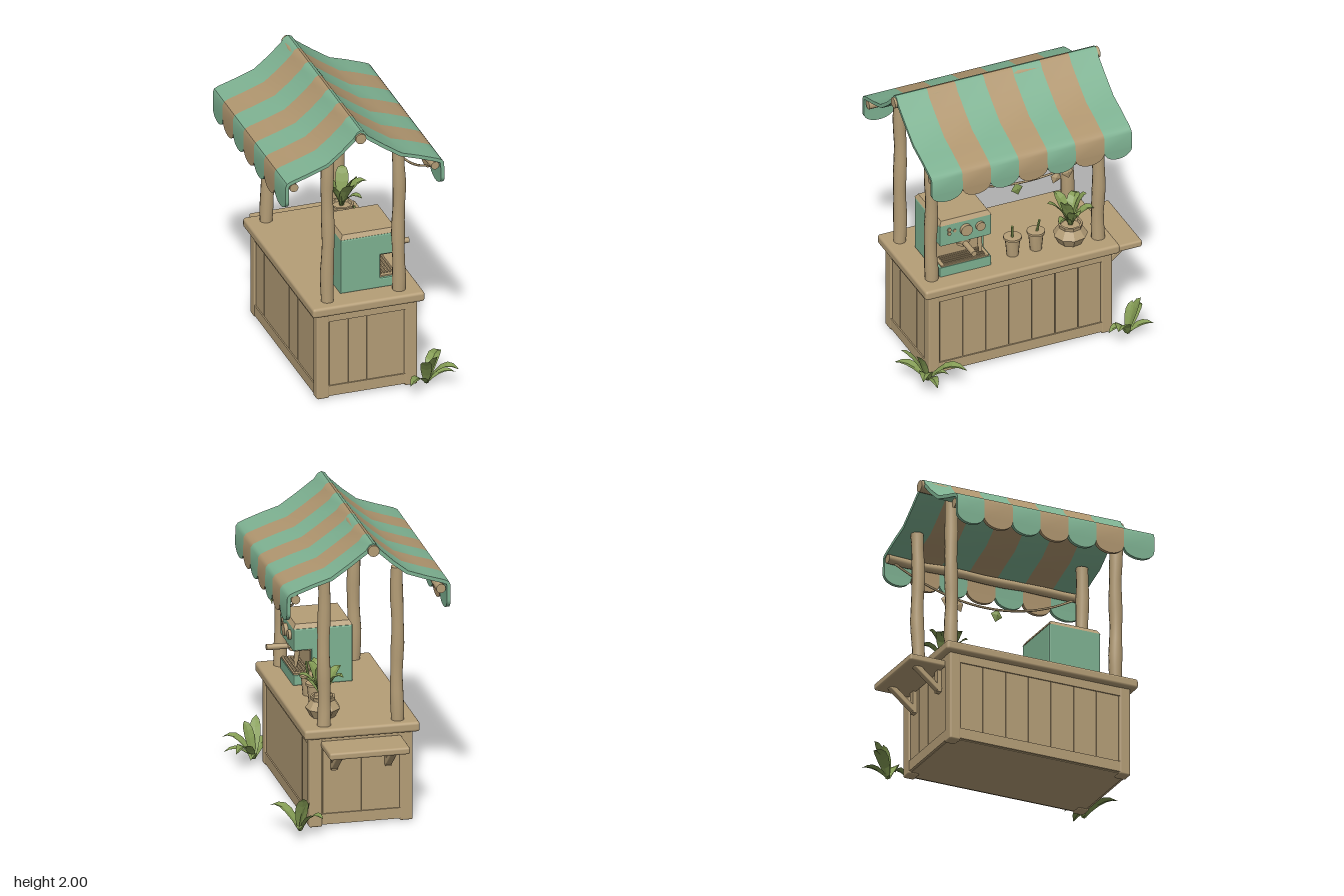
import * as THREE from 'three';
import { toCreasedNormals } from 'three/addons/utils/BufferGeometryUtils.js';
import { RoundedBoxGeometry } from 'three/addons/geometries/RoundedBoxGeometry.js';

const material = (name, color, extra = {}) => {
  const m = new THREE.MeshStandardMaterial({ color, ...extra });
  m.name = name;
  return m;
};

export function createModel() {
  const wood = material('tan wood', 0xb59e77);
  const stripe = material('tan cloth', 0xb0966f);
  const mint = material('mint green', 0x7eb292);
  const leafGreen = material('leaf green', 0x849c54, { side: THREE.DoubleSide, flatShading: true });
  const root = new THREE.Group();
  root.name = 'marketStall';

  const add = (name, geo, mat, x = 0, y = 0, z = 0, parent = root) => {
    const mesh = new THREE.Mesh(geo, mat);
    mesh.name = name;
    mesh.position.set(x, y, z);
    parent.add(mesh);
    return mesh;
  };
  // Box given by its limits, with optional rounded edges
  const box = (name, mat, x0, x1, y0, y1, z0, z1, r = 0) => {
    const s = [x1 - x0, y1 - y0, z1 - z0];
    const geo = r ? new RoundedBoxGeometry(...s, 2, r) : new THREE.BoxGeometry(...s);
    return add(name, geo, mat, (x0 + x1) / 2, (y0 + y1) / 2, (z0 + z1) / 2);
  };
  // Slightly knobbly round pole, standing on its base
  const poleGeo = (r, h, seed) => {
    const geo = new THREE.CylinderGeometry(r * 0.95, r, h, 12, 10);
    const p = geo.attributes.position;
    for (let i = 0; i < p.count; i++) {
      const y = p.getY(i), k = 1 + 0.06 * Math.sin(y * 17 + seed);
      p.setX(i, p.getX(i) * k + 0.004 * Math.sin(y * 9 + seed * 2));
      p.setZ(i, p.getZ(i) * k + 0.004 * Math.cos(y * 11 + seed));
    }
    geo.translate(0, h / 2, 0);
    return toCreasedNormals(geo, 0.8);
  };
  const rod = (name, mat, r, a, b, sides = 10) => {
    const A = new THREE.Vector3(...a), d = new THREE.Vector3(...b).sub(A);
    const m = add(name, new THREE.CylinderGeometry(r, r, d.length(), sides), mat);
    m.position.copy(A).addScaledVector(d, 0.5);
    m.quaternion.setFromUnitVectors(new THREE.Vector3(0, 1, 0), d.normalize());
    return m;
  };

  // Counter
  box('counterCore', wood, -0.35, 0.32, 0.01, 0.64, -0.63, 0.67);
  box('counterTop', wood, -0.41, 0.38, 0.63, 0.7, -0.69, 0.73, 0.02);
  for (const [x0, x1] of [[-0.37, -0.28], [0.25, 0.34]])
    for (const [z0, z1] of [[-0.65, -0.57], [0.61, 0.69]])
      box('cornerBoard', wood, x0, x1, 0, 0.64, z0, z1, 0.012);
  for (const [y0, y1] of [[0.015, 0.09], [0.57, 0.635]]) {
    for (const x of [-0.357, 0.327]) box('longRail', wood, x - 0.01, x + 0.01, y0, y1, -0.6, 0.64);
    for (const z of [-0.637, 0.677]) box('shortRail', wood, -0.3, 0.27, y0, y1, z - 0.01, z + 0.01);
  }
  for (let i = 0; i < 7; i++) {
    const z0 = -0.567 + i * 0.168;
    for (const x of [-0.352, 0.322])
      box('longPlank', wood, x - 0.006, x + 0.006, 0.09, 0.57, z0, z0 + 0.162);
  }
  for (let i = 0; i < 4; i++) {
    const x0 = -0.277 + i * 0.132;
    for (const z of [-0.632, 0.672])
      box('shortPlank', wood, x0, x0 + 0.126, 0.09, 0.57, z - 0.006, z + 0.006);
  }

  // Folding side shelf with brackets
  box('sideShelf', wood, -0.29, 0.26, 0.555, 0.605, -0.905, -0.64, 0.015);
  for (const x of [-0.2, 0.17]) {
    const brace = box('shelfBrace', wood, x - 0.022, x + 0.022, -0.12, 0.12, -0.02, 0.02, 0.008);
    brace.position.set(x, 0.49, -0.735);
    brace.rotation.x = -0.88;
    box('shelfCleat', wood, x - 0.022, x + 0.022, 0.4, 0.56, -0.67, -0.64);
  }

  // Posts and beams
  let seed = 1;
  for (const [x, h] of [[-0.273, 1.09], [0.228, 1.06]])
    for (const z of [0.625, -0.595]) add('roofPost', poleGeo(0.045, h, seed++), wood, x, 0.69, z);
  for (const [name, x, y, r, z0, z1] of [['ridgeBeam', -0.08, 1.945, 0.042, -0.735, 0.76],
    ['eavePole', 0.45, 1.64, 0.031, -0.71, 0.735], ['eavePole', -0.55, 1.64, 0.031, -0.71, 0.735]])
    add(name, poleGeo(r, z1 - z0, seed++), wood, x, y, z0).rotation.x = Math.PI / 2;

  // Striped awning: one cloth profile extruded stripe by stripe
  const outer = [[-0.61, 1.55], [-0.61, 1.66], [-0.6, 1.685], [-0.57, 1.7], [-0.45, 1.738], [-0.32, 1.785],
    [-0.22, 1.865], [-0.13, 1.95], [-0.105, 1.987], [-0.08, 1.998], [-0.055, 1.987], [-0.03, 1.95],
    [0.09, 1.862], [0.21, 1.78], [0.33, 1.743], [0.45, 1.7], [0.49, 1.683], [0.507, 1.66], [0.51, 1.55]]
    .map(p => new THREE.Vector2(...p));
  const T = 0.025;
  const inner = outer.map((p, i) => {
    const d = outer[Math.min(i + 1, outer.length - 1)].clone().sub(outer[Math.max(i - 1, 0)]).normalize();
    return new THREE.Vector2(p.x + d.y * T, p.y - d.x * T);
  });
  const cloth = new THREE.Shape([...outer, ...inner.reverse()]);
  const edges = [-0.715, -0.515, -0.305, -0.1, 0.11, 0.315, 0.52, 0.745];
  for (let i = 0; i < 7; i++) {
    const z0 = edges[i], w = edges[i + 1] - z0, mat = i % 2 ? stripe : mint;
    const roof = new THREE.ExtrudeGeometry(cloth, { depth: w, bevelEnabled: false });
    add('awningStripe', toCreasedNormals(roof, 0.7), mat, 0, 0, z0);
    // Scalloped valance flap
    const flap = new THREE.Shape();
    flap.moveTo(0, 1.551);
    flap.absellipse(w / 2, 1.55, w / 2, 0.07, Math.PI, Math.PI * 2, false);
    const flapGeo = new THREE.ExtrudeGeometry(flap, { depth: T, bevelEnabled: false, curveSegments: 14 });
    flapGeo.rotateY(-Math.PI / 2);
    for (const x of [0.51, -0.61 + T]) add('awningScallop', flapGeo, mat, x, 0, z0);
  }

  // Bent leaf with a folded midrib, from the origin to a tip
  const leafGeo = (dx, dz, mid, tip, width) => {
    const pos = [], idx = [], N = 5, len = Math.hypot(dx, dz) || 1;
    for (let i = 0; i <= N; i++) {
      const t = i / N, w = width * Math.pow(Math.sin(Math.PI * Math.min(0.08 + t * 0.92, 1)), 0.8) / 2;
      const y = 2 * t * (1 - t) * mid + t * t * tip;
      for (const s of [-1, 0, 1])
        pos.push(dx * t - s * w * dz / len, y + Math.abs(s) * w * 0.35, dz * t + s * w * dx / len);
      if (i < N) for (const k of [0, 1]) {
        const a = i * 3 + k;
        idx.push(a, a + 1, a + 3, a + 1, a + 4, a + 3);
      }
    }
    const geo = new THREE.BufferGeometry();
    geo.setAttribute('position', new THREE.Float32BufferAttribute(pos, 3));
    geo.setIndex(idx);
    geo.computeVertexNormals();
    return geo;
  };
  const plant = (name, x, y, z, leaves) => {
    const g = new THREE.Group();
    g.name = name;
    g.position.set(x, y, z);
    root.add(g);
    for (const l of leaves) add('leaf', leafGeo(...l), leafGreen, 0, 0, 0, g);
  };
  // Leaf values: tip x, tip z, mid height, tip height, width
  plant('frontGroundPlant', 0.39, 0.01, 0.72, [[-0.17, 0.17, 0.14, 0.09, 0.08], [-0.06, 0.17, 0.2, 0.25, 0.08],
    [0.19, 0.12, 0.2, 0.13, 0.09], [0.17, -0.21, 0.2, 0.12, 0.09], [0.04, 0.1, 0.2, 0.24, 0.08],
    [0.2, 0.02, 0.12, 0.06, 0.07], [0.05, -0.13, 0.1, 0.04, 0.06]]);
  plant('backGroundPlant', 0.42, 0.01, -0.72, [[-0.12, -0.16, 0.18, 0.13, 0.09], [0.0, -0.1, 0.2, 0.26, 0.09],
    [0.17, 0.14, 0.2, 0.15, 0.1], [0.05, -0.17, 0.1, 0.07, 0.07], [0.03, 0.15, 0.14, 0.06, 0.07],
    [-0.05, -0.06, 0.16, 0.22, 0.07]]);
  plant('pottedPlant', 0.19, 0.82, -0.41, [[0.02, 0.18, 0.2, 0.23, 0.09], [0.08, 0.09, 0.22, 0.24, 0.09],
    [0.04, -0.1, 0.24, 0.25, 0.09], [0.06, -0.17, 0.18, 0.12, 0.08], [0.17, 0.02, 0.2, 0.17, 0.09],
    [-0.14, 0.06, 0.2, 0.2, 0.09], [-0.12, -0.1, 0.22, 0.17, 0.09], [0.1, 0.13, 0.14, 0.1, 0.07]]);

  // Faceted plant pot
  const lathe = (pts, sides) => toCreasedNormals(
    new THREE.LatheGeometry(pts.map(p => new THREE.Vector2(...p)), sides), 0.5);
  add('plantPot', lathe([[0, 0], [0.085, 0], [0.118, 0.06], [0.08, 0.115], [0.085, 0.14], [0.07, 0.14],
    [0.065, 0.12], [0, 0.12]], 9), wood, 0.19, 0.7, -0.41);

  // Cups with straws
  for (const [z, lean] of [[0.01, 0.01], [-0.16, -0.02]]) {
    add('cup', lathe([[0, 0], [0.04, 0], [0.052, 0.125], [0.062, 0.127], [0.062, 0.143], [0.05, 0.145],
      [0, 0.14]], 14), wood, 0.185, 0.7, z);
    rod('straw', leafGreen, 0.009, [0.185, 0.8, z], [0.2, 0.93, z + lean], 6);
  }

  // Coffee machine, facing the long side
  const side = new THREE.Shape([[-0.15, 0.71], [0.235, 0.71], [0.235, 0.762], [0.11, 0.762], [0.11, 0.955],
    [0.235, 0.955], [0.235, 1.09], [-0.15, 1.09]].map(p => new THREE.Vector2(...p)));
  add('machineBody', new THREE.ExtrudeGeometry(side, { depth: 0.36, bevelSize: 0.01, bevelThickness: 0.01,
    bevelSegments: 2 }), mint, 0, 0, 0.2);
  const lid = box('machineLid', wood, -0.16, 0.245, 1.1, 1.13, 0.19, 0.57);
  const lp = lid.geometry.attributes.position;
  for (let i = 0; i < lp.count; i++) if (lp.getY(i) > 0) {
    lp.setX(i, lp.getX(i) * 0.91);
    lp.setZ(i, lp.getZ(i) * 0.9);
  }
  lid.geometry.computeVertexNormals();
  box('machineBackPlate', wood, 0.1, 0.126, 0.773, 0.944, 0.21, 0.55);
  box('headUnderside', wood, 0.11, 0.238, 0.938, 0.95, 0.205, 0.555);
  box('dripTray', wood, 0.11, 0.24, 0.768, 0.782, 0.205, 0.555);
  for (let i = 0; i < 5; i++)
    box('trayBar', wood, 0.135 + i * 0.021, 0.145 + i * 0.021, 0.78, 0.79, 0.23, 0.53);
  for (const [y, z, r] of [[1.035, 0.38, 0.042], [1.035, 0.275, 0.033], [1.06, 0.5, 0.014], [1.03, 0.5, 0.014],
    [1.045, 0.46, 0.012]])
    rod('knob', wood, r, [0.235, y, z], [0.245 + r * 0.6, y, z], 14);
  rod('groupHead', wood, 0.055, [0.19, 0.915, 0.38], [0.19, 0.945, 0.38], 14);
  rod('filterBasket', wood, 0.042, [0.19, 0.89, 0.38], [0.19, 0.92, 0.38], 14);
  rod('filterHandle', wood, 0.02, [0.2, 0.918, 0.38], [0.385, 0.92, 0.38]);
  rod('steamWand', wood, 0.012, [0.2, 0.945, 0.26], [0.215, 0.81, 0.26], 8);
  rod('wandGrip', wood, 0.018, [0.202, 0.93, 0.26], [0.21, 0.85, 0.26], 8);

  // Hanging garland with leaves
  const sag = z => 1.415 + 0.45 * z * z;
  const cord = [];
  for (let i = 0; i <= 8; i++) {
    const z = -0.68 + i * 0.17;
    cord.push(new THREE.Vector3(0.415 + 0.06 * z * z, sag(z), z));
  }
  add('garlandCord', new THREE.TubeGeometry(new THREE.CatmullRomCurve3(cord), 32, 0.008, 6), wood);
  for (const [z, mat, turn] of [[0.085, leafGreen, 0.4], [-0.2, wood, -0.9], [-0.285, wood, 0.3]]) {
    const pennant = add('garlandLeaf', new THREE.OctahedronGeometry(0.05), mat, 0.42, sag(z) - 0.04, z);
    pennant.scale.set(0.25, 1, 0.85);
    pennant.rotation.x = turn * 0.5;
  }
  return root;
}
